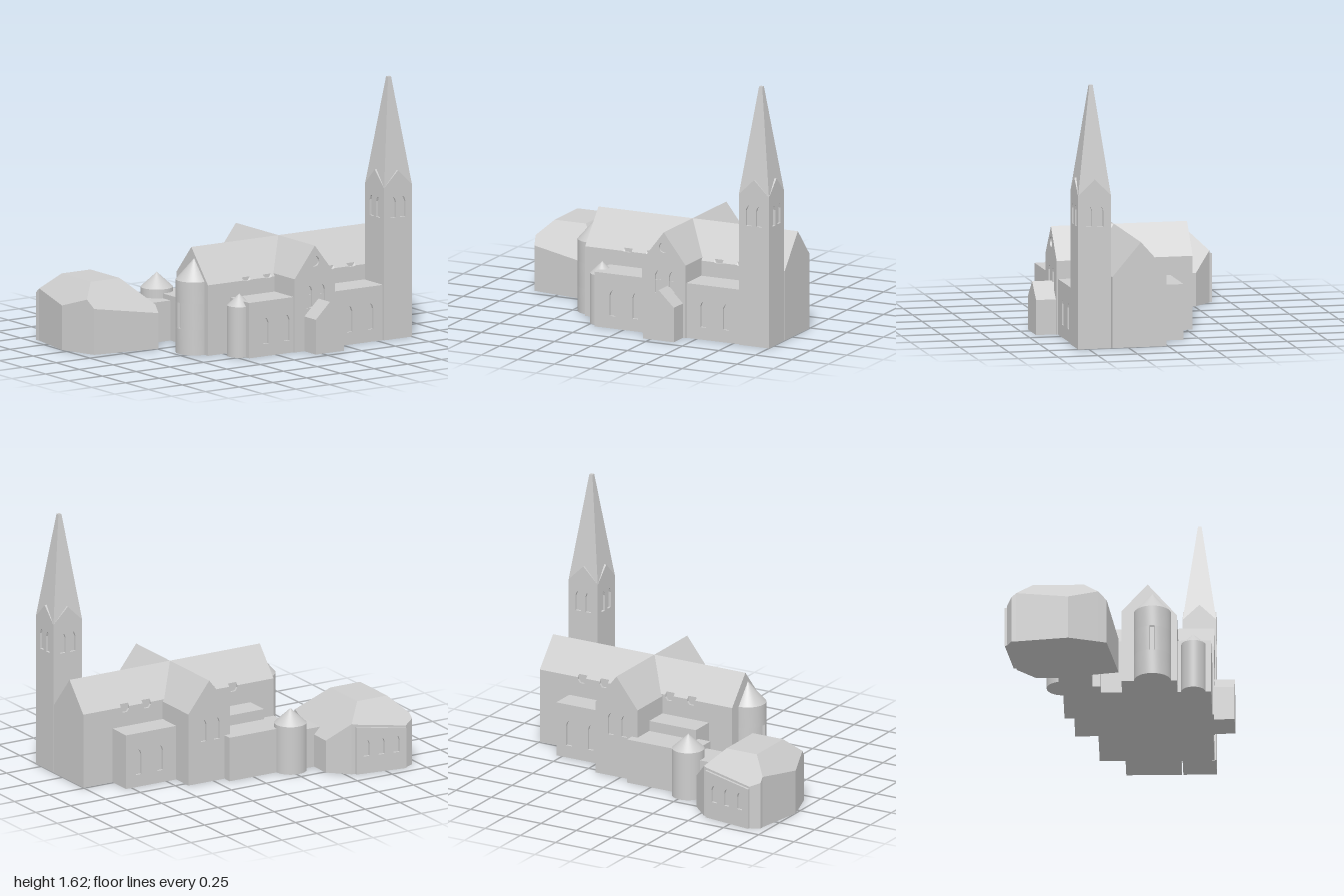
import * as THREE from 'three';
import { toCreasedNormals } from 'three/addons/utils/BufferGeometryUtils.js';

const D = 0.015; // depth of the window recesses
const stone = new THREE.MeshStandardMaterial({ color: 0xcccccc });
stone.name = 'stone';

export function createModel() {
  const model = new THREE.Group();
  model.name = 'church';

  const add = (name, geometry) => {
    const mesh = new THREE.Mesh(geometry, stone);
    mesh.name = name;
    model.add(mesh);
    return mesh;
  };
  const vectors = pts => pts.map(([x, y]) => new THREE.Vector2(x, y));
  const extrude = (pts, depth, holes = []) => {
    const shape = new THREE.Shape(vectors(pts));
    shape.holes = holes.map(h => new THREE.Path(vectors(h)));
    return new THREE.ExtrudeGeometry(shape, { depth, bevelEnabled: false });
  };
  const block = (name, x0, x1, z0, z1, h) =>
    add(name, new THREE.BoxGeometry(x1 - x0, h, z1 - z0)
      .translate((x0 + x1) / 2, h / 2, (z0 + z1) / 2));
  // Wall slab with openings; its outer face looks along the given angle
  const panel = (name, pts, holes, x, z, angle) =>
    add(name, extrude(pts, D, holes).translate(0, 0, -D).rotateY(angle).translate(x, 0, z));
  const gable = (w, eave, ridge) => [[-w, 0], [w, 0], [w, eave], [0, ridge], [-w, eave]];
  // Pointed window opening
  const lancet = (x, y0, y1, w = 0.02) => [
    [x - w, y0], [x + w, y0], [x + w, y1 - 0.032], [x + w * 0.6, y1 - 0.01], [x, y1],
    [x - w * 0.6, y1 - 0.01], [x - w, y1 - 0.032]];
  const roundTurret = (name, x, z, r, h, top) => {
    add(name + 'Wall', new THREE.CylinderGeometry(r, r, h, 40).translate(x, h / 2, z));
    add(name + 'Roof', new THREE.ConeGeometry(r, top - h, 40).translate(x, (h + top) / 2, z));
  };

  // Nave core, profile runs across z
  const south = 0.35, north = 0.01, ridgeZ = 0.17, ridge = 0.65;
  const sEave = 0.44, nEave = 0.47, sIn = 0.4575, nIn = 0.487;
  add('nave', extrude([[-south + D, 0], [-north - D, 0], [-north - D, nIn], [-ridgeZ, ridge],
    [-south + D, sIn]], 1.365).rotateY(Math.PI / 2).translate(-0.365, 0, 0));

  // Nave side walls, with round windows notched into the eaves
  const bays = [-0.076, 0.08, 0.545, 0.7];
  const naveSide = (name, z0, outerZ, inner, outer) => {
    const pts = [[1, 0], [-0.365, 0], [-0.365, inner]];
    for (const x of bays) {
      pts.push([x - 0.029, inner], [x - 0.03, 0.455], [x - 0.015, 0.435],
        [x + 0.015, 0.435], [x + 0.03, 0.455], [x + 0.029, inner]);
    }
    pts.push([1, inner]);
    const g = extrude(pts, D).translate(0, 0, z0);
    const p = g.attributes.position;
    for (let i = 0; i < p.count; i++) {
      if (Math.abs(p.getZ(i) - outerZ) < 1e-4 && p.getY(i) > outer) p.setY(i, outer);
    }
    g.computeVertexNormals();
    add(name, g);
  };
  naveSide('southNaveWall', south - D, south, sIn, sEave);
  naveSide('northNaveWall', north, north, nIn, nEave);

  // Transept with paired windows and a round window over the front
  const tx = 0.28, tGable = gable(0.15, 0.457, ridge);
  add('transept', extrude(tGable, 0.855 - 2 * D).translate(tx, 0, -0.29 + D));
  const rose = Array.from({ length: 24 }, (_, i) => {
    const a = i * Math.PI / 12;
    return [0.033 * Math.cos(a), 0.553 + 0.033 * Math.sin(a)];
  });
  const pair = [lancet(-0.04, 0.265, 0.405), lancet(0.055, 0.265, 0.405)];
  panel('transeptFront', tGable, [...pair, rose], tx, 0.565, 0);
  panel('transeptBack', tGable, pair, tx, -0.29, Math.PI);

  // Flat-roofed aisles
  const aisleH = 0.345;
  const aisleWall = [[-0.2, 0], [0.79, 0], [0.79, aisleH], [-0.2, aisleH]];
  block('southAisle', -0.2, 0.8, 0.33, 0.555 - D, aisleH);
  panel('southAisleWall', aisleWall, bays.map(x => lancet(x, 0.078, 0.24)), 0, 0.555, 0);
  block('northAisle', -0.2, 0.79, -0.148 + D, 0.03, aisleH);
  panel('northAisleWall', aisleWall.map(([x, y]) => [-x, y]),
    bays.slice(2).map(x => lancet(-x, 0.078, 0.24)), 0, -0.148, Math.PI);

  // Front porch
  add('porch', extrude(gable(0.105, 0.217, 0.317), 0.15).translate(0.307, 0, 0.54));

  // Tower with a gable on every side, and its spire
  const tw = 0.103, towerX = 0.897, towerZ = 0.462;
  block('towerCore', towerX - tw + D, towerX + tw - D, towerZ - tw + D, towerZ + tw - D, 0.96);
  const towerWindows = [lancet(-0.035, 0.757, 0.886), lancet(0.035, 0.757, 0.886)];
  for (let i = 0; i < 4; i++) {
    const a = i * Math.PI / 2;
    panel('towerWall', gable(tw, 0.95, 1.05), towerWindows,
      towerX + tw * Math.sin(a), towerZ + tw * Math.cos(a), a);
  }
  add('spire', new THREE.CylinderGeometry(0.011 * Math.SQRT2, tw * Math.SQRT2, 0.67, 4)
    .rotateY(Math.PI / 4).toNonIndexed().translate(towerX, 1.285, towerZ))
    .geometry.computeVertexNormals();

  // Apse in three bands, the middle one notched for its window
  const ax = -0.365, az = 0.2, ar = 0.113;
  const apseBand = (y0, y1, notch) => {
    const pts = [];
    for (let i = 0; i < 48; i++) {
      const a = i * Math.PI / 24;
      const r = notch && (i <= 1 || i >= 47) ? ar - D : ar;
      const point = rr => [ax - rr * Math.cos(a), -az + rr * Math.sin(a)];
      if (notch && i === 47) pts.push(point(ar));
      pts.push(point(r));
      if (notch && i === 1) pts.push(point(ar));
    }
    const g = extrude(pts, y1 - y0).rotateX(-Math.PI / 2).translate(0, y0, 0);
    add('apseWall', toCreasedNormals(g, 0.5));
  };
  apseBand(0, 0.16, false);
  apseBand(0.16, 0.32, true);
  apseBand(0.32, 0.455, false);
  add('apseRoof', new THREE.ConeGeometry(ar, 0.13, 48).translate(ax, 0.52, az));

  // Stair turrets, annex and passage
  roundTurret('southTurret', -0.2, 0.447, 0.075, 0.315, 0.387);
  roundTurret('northTurret', -0.265, -0.35, 0.1, 0.305, 0.397);
  block('annex', -0.287, 0.17, -0.35, -0.12, 0.28);
  block('passage', -0.47, -0.27, -0.375, -0.17, 0.25);

  // Chapter house: a hipped roof of even slope trimmed by an irregular plan
  const x0 = -0.853, x1 = -0.639, z0 = -0.522, z1 = -0.207;
  const roofY = (x, z) => 0.425 - Math.max(x0 - x, x - x1, z0 - z, z - z1, 0);
  const plan = {
    A: [-0.892, -0.678], B: [-0.561, -0.63], B2: [-0.537, -0.624], C: [-0.42, -0.512],
    D: [-0.42, -0.357], E2: [-0.482, -0.05], E: [-0.489, -0.004], F: [-0.922, -0.068],
    F2: [-0.94, -0.12], G: [-1, -0.303], H2: [-0.952, -0.621], H: [-0.955, -0.65],
    tl: [x0, z0], tr: [x1, z0], br: [x1, z1], bl: [x0, z1],
  };
  const low = k => [plan[k][0], 0, plan[k][1]];
  const high = k => [plan[k][0], roofY(...plan[k]), plan[k][1]];
  const outline = 'A B B2 C D E2 E F F2 G H2 H'.split(' ');
  // H comes before H2 when walking back toward A
  const rim = outline;
  const polygons = rim.map((k, i) => {
    const n = rim[(i + 1) % rim.length];
    return [low(k), high(k), high(n), low(n)];
  });
  polygons.push(rim.map(low));
  for (const face of ['H2 H A B B2 tr tl', 'B2 C D E2 br tr', 'E2 E F F2 bl br',
    'F2 G H2 tl bl', 'tl tr br bl']) {
    polygons.push(face.split(' ').map(high).reverse());
  }
  const verts = [];
  for (const p of polygons) {
    for (let i = 1; i < p.length - 1; i++) verts.push(...p[0], ...p[i], ...p[i + 1]);
  }
  const hall = new THREE.BufferGeometry();
  hall.setAttribute('position', new THREE.Float32BufferAttribute(verts, 3));
  hall.computeVertexNormals();
  add('chapterHouse', hall);
  panel('chapterHouseWindowWall', [[-0.167, 0], [0.167, 0], [0.167, 0.256], [-0.167, 0.303]],
    [-0.1, 0, 0.1].map(u => lancet(u, 0.11, 0.22)), -0.7245, -0.669, Math.atan2(0.144, -0.99));

  return model;
}
